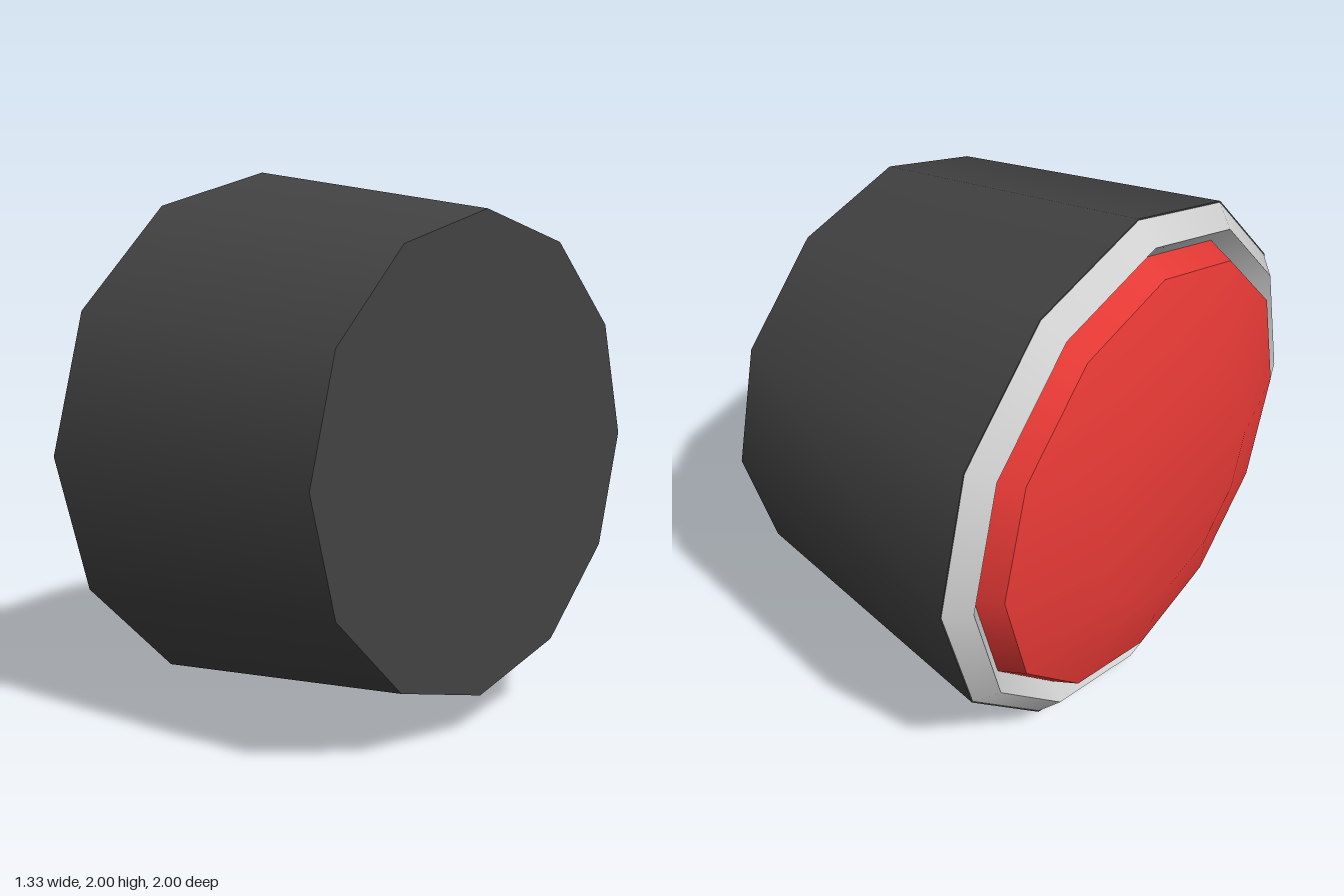
import * as THREE from 'three';

const SIDES = 12;

// Turned band around the x axis; points are [radius, x], running from +x to -x for outward faces
function band(name, material, points) {
  const profile = points.map(([r, x]) => new THREE.Vector2(r, -x));
  const geometry = new THREE.LatheGeometry(profile, SIDES);
  geometry.rotateZ(Math.PI / 2);
  const mesh = new THREE.Mesh(geometry, material);
  mesh.name = name;
  return mesh;
}

export function createModel() {
  const casing = new THREE.MeshStandardMaterial({ color: 0x424242 });
  casing.name = 'dark casing';
  const silver = new THREE.MeshStandardMaterial({ color: 0xd0d0d0 });
  silver.name = 'silver trim';
  const red = new THREE.MeshStandardMaterial({ color: 0xe53935 });
  red.name = 'red lens';

  const model = new THREE.Group();
  model.name = 'roundLamp';

  // Tapered housing, closed at both ends
  const bodyGeometry = new THREE.CylinderGeometry(1, 0.85, 1.105, SIDES);
  bodyGeometry.rotateZ(Math.PI / 2);
  const housing = new THREE.Mesh(bodyGeometry, casing);
  housing.name = 'housing';
  housing.position.x = 0.1125;
  model.add(housing);

  // Trim ring: outer and inner bevels meeting in a sharp ridge
  const ring = new THREE.Group();
  ring.name = 'trimRing';
  ring.add(
    band('outerBevel', silver, [[0.995, -0.44], [0.92, -0.512]]),
    band('innerBevel', silver, [[0.92, -0.512], [0.845, -0.44]])
  );
  model.add(ring);

  // Lens: steep rim, then a shallow smooth dome
  const lens = new THREE.Group();
  lens.name = 'lens';
  lens.add(
    band('lensRim', red, [[0.87, -0.44], [0.82, -0.555]]),
    band('lensDome', red, [[0.82, -0.555], [0.45, -0.665], [0, -0.665]])
  );
  model.add(lens);

  model.position.y = 1;
  const root = new THREE.Group();
  root.name = 'model';
  root.add(model);
  return root;
}
